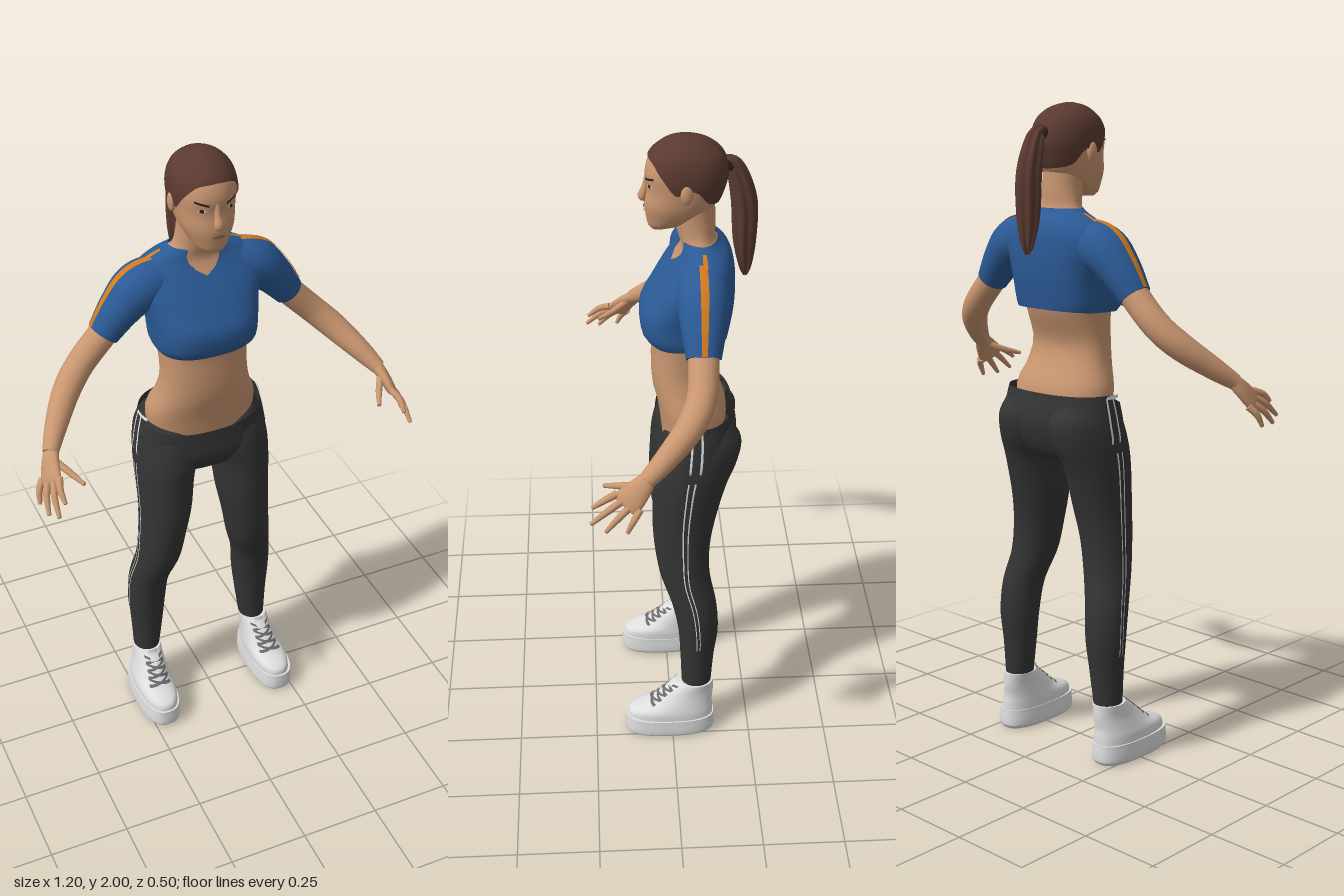
import * as THREE from 'three';

const mat = (name, color, side = THREE.DoubleSide) => {
  const m = new THREE.MeshStandardMaterial({ color, side });
  m.name = name;
  return m;
};

// Smooth interpolation of table rows; column 0 is the key.
function sampleAt(rows, x) {
  const last = rows.length - 1;
  x = Math.min(Math.max(x, rows[0][0]), rows[last][0]);
  let i = 0;
  while (i < last - 1 && x > rows[i + 1][0]) i++;
  const h = rows[i + 1][0] - rows[i][0], t = (x - rows[i][0]) / h;
  const slope = (k, c) => {
    const a = rows[Math.max(k - 1, 0)], b = rows[Math.min(k + 1, last)];
    return (b[c] - a[c]) / (b[0] - a[0]);
  };
  return rows[i].map((v, c) => c === 0 ? x :
    v * (1 + 2 * t) * (1 - t) ** 2 + rows[i + 1][c] * t * t * (3 - 2 * t) +
    h * (slope(i, c) * t * (1 - t) ** 2 - slope(i + 1, c) * t * t * (1 - t)));
}

// Surface f(u, v) as a grid, optionally closed around u and capped at both ends.
function grid(f, nu, nv, closed, cap0, cap1) {
  const pos = [], idx = [], w = closed ? nu : nu + 1;
  for (let j = 0; j <= nv; j++)
    for (let i = 0; i < w; i++) pos.push(...f(i / nu, j / nv));
  for (let j = 0; j < nv; j++)
    for (let i = 0; i < nu; i++) {
      const a = j * w + i, b = j * w + (i + 1) % w;
      idx.push(a, b, b + w, a, b + w, a + w);
    }
  const cap = (v, top) => {
    const base = pos.length / 3, c = [0, 0, 0];
    for (let i = 0; i < nu; i++) {
      const p = f(i / nu, v);
      pos.push(...p);
      p.forEach((q, k) => { c[k] += q / nu; });
      const n = base + (i + 1) % nu;
      idx.push(base + nu, top ? base + i : n, top ? n : base + i);
    }
    pos.push(...c);
  };
  if (cap0) cap(0, false);
  if (cap1) cap(1, true);
  const g = new THREE.BufferGeometry();
  g.setAttribute('position', new THREE.Float32BufferAttribute(pos, 3));
  g.setIndex(idx);
  g.computeVertexNormals();
  return g;
}

// Upright body from sections [y, cx, cz, halfWidth, front, back, power]; angle 0 faces front.
const spow = (v, e) => Math.sign(v) * Math.abs(v) ** e;
const surf = (rows, s = 1) => (a, y, off) => {
  const [, cx, cz, rx, rf, rb, p] = sampleAt(rows, y);
  const c = Math.cos(a);
  return [s * cx + (rx + off) * spow(Math.sin(a), 2 / p), y, cz + ((c > 0 ? rf : rb) + off) * spow(c, 2 / p)];
};
const val = (y, a) => typeof y === 'function' ? y(a) : y;
const shell = (P, y0, y1, { off = 0, caps = [true, true], rows = 28 } = {}) => grid((u, v) => {
  const a = (u * 2 - 1) * Math.PI, e = Math.sin(v * Math.PI / 2);
  return P(a, val(y0, a) * (1 - e) + val(y1, a) * e, off);
}, 48, rows, true, ...caps);
const patch = (P, a0, a1, y0, y1, off = 0.003, rows = 24) => grid((u, v) => {
  const a = a0 + (a1 - a0) * u;
  return P(a, val(y0, a) * (1 - v) + val(y1, a) * v, off);
}, 10, rows, false);

// Bent limb through points [x, y, z, radiusN, radiusB]; ref fixes the direction of radiusB.
function limbSurface(points, ref = [0, 0, 1]) {
  const rows = points.map((p, i) => [i, ...p]), n = points.length - 1;
  const at = (t) => new THREE.Vector3(...sampleAt(rows, t * n).slice(1, 4));
  return (a, t, off = 0) => {
    const T = at(Math.min(t + 0.01, 1)).sub(at(Math.max(t - 0.01, 0))).normalize();
    const B = new THREE.Vector3(...ref).addScaledVector(T, -T.dot(new THREE.Vector3(...ref))).normalize();
    const N = B.clone().cross(T), r = sampleAt(rows, t * n);
    return at(t).addScaledVector(N, (r[4] + off) * Math.cos(a))
      .addScaledVector(B, (r[5] + off) * Math.sin(a)).toArray();
  };
}
const limb = (points, ref, nu = 20, nv = 24, ripple = 0) => {
  const Q = limbSurface(points, ref);
  return grid((u, v) => Q(u * 2 * Math.PI, v, ripple * Math.cos(u * 14 * Math.PI)), nu, nv, true, true, true);
};

const TORSO = [
  [1.03, 0, -0.07, 0.16, 0.09, 0.1, 2.2], [1.16, 0, -0.065, 0.174, 0.1, 0.105, 2.2],
  [1.22, 0, -0.05, 0.15, 0.1, 0.09, 2.2], [1.29, 0, -0.04, 0.136, 0.094, 0.078, 2.2],
  [1.385, 0, -0.045, 0.138, 0.098, 0.11, 2.2], [1.45, 0, -0.05, 0.145, 0.115, 0.12, 2.3],
  [1.55, 0, -0.07, 0.165, 0.095, 0.11, 2.3], [1.62, 0, -0.09, 0.155, 0.073, 0.085, 2.2],
  [1.665, 0, -0.095, 0.115, 0.057, 0.065, 2], [1.69, 0, -0.09, 0.078, 0.06, 0.045, 2],
  [1.74, 0, -0.08, 0.064, 0.062, 0.053, 2], [1.82, 0, -0.07, 0.062, 0.06, 0.06, 2]];
const SHIRT = [
  [1.385, 0, -0.05, 0.147, 0.112, 0.12, 2.6], [1.41, 0, -0.05, 0.156, 0.132, 0.124, 2.8],
  [1.475, 0, -0.055, 0.162, 0.14, 0.13, 2.8], [1.53, 0, -0.065, 0.175, 0.12, 0.125, 2.6],
  [1.58, 0, -0.075, 0.19, 0.098, 0.115, 2.5], [1.63, 0, -0.09, 0.19, 0.078, 0.095, 2.3],
  [1.665, 0, -0.095, 0.15, 0.063, 0.075, 2.1], [1.69, 0, -0.095, 0.095, 0.063, 0.05, 2],
  [1.7, 0, -0.093, 0.08, 0.063, 0.045, 2]];
const PELVIS = [
  [0.93, 0, -0.06, 0.08, 0.05, 0.06, 2], [0.95, 0, -0.06, 0.16, 0.08, 0.1, 2.2],
  [1, 0, -0.065, 0.21, 0.112, 0.125, 2.4], [1.07, 0, -0.07, 0.208, 0.114, 0.135, 2.4],
  [1.155, 0, -0.075, 0.19, 0.112, 0.115, 2.3]];
const LEG = [
  [0.17, 0.196, -0.078, 0.041, 0.046, 0.047, 2], [0.3, 0.19, -0.08, 0.053, 0.053, 0.055, 2],
  [0.4, 0.188, -0.08, 0.062, 0.06, 0.067, 2], [0.5, 0.181, -0.07, 0.064, 0.07, 0.07, 2],
  [0.6, 0.158, -0.045, 0.07, 0.08, 0.075, 2], [0.7, 0.145, -0.04, 0.075, 0.092, 0.08, 2],
  [0.8, 0.133, -0.04, 0.083, 0.098, 0.098, 2], [0.93, 0.126, -0.05, 0.093, 0.103, 0.122, 2],
  [1, 0.111, -0.06, 0.106, 0.108, 0.142, 2], [1.07, 0.105, -0.075, 0.1, 0.105, 0.138, 2],
  [1.12, 0.1, -0.085, 0.085, 0.08, 0.1, 2]];
const HEAD = [
  [1.725, 0, 0.03, 0.022, 0.022, 0.03, 2], [1.737, 0, 0.02, 0.042, 0.04, 0.06, 2],
  [1.765, 0, -0.01, 0.062, 0.076, 0.08, 2.1], [1.8, 0, -0.03, 0.078, 0.1, 0.1, 2.2],
  [1.85, 0, -0.045, 0.087, 0.108, 0.108, 2.2], [1.9, 0, -0.05, 0.09, 0.117, 0.112, 2.2],
  [1.95, 0, -0.05, 0.079, 0.1, 0.098, 2.1], [1.98, 0, -0.048, 0.054, 0.066, 0.068, 2],
  [1.993, 0, -0.045, 0.03, 0.036, 0.038, 2], [2, 0, -0.045, 0.003, 0.004, 0.004, 2]];
const HAIRLINE = [[0, 1.945], [0.6, 1.935], [1, 1.9], [1.35, 1.855], [1.7, 1.87], [2.2, 1.825], [3.15, 1.81]];
const SOLE = [
  [0, 0.208, 0.01, 0.057, 0.134, 0.138, 2.6], [0.012, 0.208, 0.01, 0.066, 0.143, 0.147, 2.6],
  [0.065, 0.208, 0.008, 0.064, 0.143, 0.144, 2.6]];
const UPPER = [
  [0.06, 0.207, 0, 0.061, 0.146, 0.133, 2.4], [0.09, 0.206, 0, 0.06, 0.135, 0.132, 2.3],
  [0.112, 0.204, -0.02, 0.055, 0.096, 0.11, 2.2], [0.15, 0.2, -0.05, 0.048, 0.08, 0.084, 2],
  [0.19, 0.197, -0.075, 0.047, 0.055, 0.058, 2]];

export function createModel() {
  const M = {
    skin: mat('skin', 0xc99670), shirt: mat('blue cloth', 0x2b5a96), pants: mat('black cloth', 0x343434),
    hair: mat('brown hair', 0x5a3a30), white: mat('white', 0xdedede), lace: mat('grey lace', 0x6a6a6a),
    orange: mat('orange stripe', 0xd07a1e), dark: mat('dark detail', 0x261e1c), lip: mat('lip', 0xa86e58),
  };
  const model = new THREE.Group();
  const add = (name, geometry, material) => {
    const m = new THREE.Mesh(geometry, material);
    m.name = name;
    model.add(m);
    return m;
  };

  // Torso and clothes
  const shirt = surf(SHIRT), pelvis = surf(PELVIS), head = surf(HEAD);
  add('torso', shell(surf(TORSO), 1.03, 1.82, { rows: 40 }), M.skin);
  add('shirt', shell(shirt, (a) => 1.385 + 0.008 * (1 - Math.cos(a)),
    (a) => 1.62 + 0.077 * Math.min(1, Math.abs(a) / 0.55), { caps: [true, false], rows: 36 }), M.shirt);
  add('pantsTop', shell(pelvis, 0.93,
    (a) => 1.152 - 0.052 * Math.max(0, Math.cos(a)) ** 0.7, { caps: [true, false] }), M.pants);

  // Head, hair and ponytail
  add('head', shell(head, 1.725, 1.985, { rows: 36 }), M.skin);
  add('hair', shell(head, (a) => sampleAt(HAIRLINE, Math.abs(a))[1], 2, { off: 0.006, caps: [false, true] }), M.hair);
  add('nose', limb([[0, 1.885, 0.06, 0.008, 0.008], [0, 1.85, 0.066, 0.01, 0.01],
    [0, 1.822, 0.075, 0.013, 0.015], [0, 1.81, 0.068, 0.006, 0.01]], [1, 0, 0], 12, 12), M.skin);
  add('mouth', patch(head, -0.27, 0.27, (a) => 1.78 + 0.06 * a * a, (a) => 1.791 - 0.08 * a * a, 0.003, 4), M.lip);
  add('ponytail', limb([[0, 1.925, -0.15, 0.016, 0.016], [0, 1.9, -0.185, 0.026, 0.026],
    [0, 1.8, -0.212, 0.036, 0.036], [0, 1.68, -0.216, 0.032, 0.034], [0, 1.6, -0.22, 0.018, 0.02],
    [0, 1.565, -0.222, 0.004, 0.004]], [1, 0, 0], 56, 30, 0.003), M.hair);
  const tie = add('hairTie', new THREE.TorusGeometry(0.02, 0.009, 8, 20), M.dark);
  tie.position.set(0, 1.913, -0.168);
  tie.rotation.x = 0.7;

  for (const [side, s] of [['left', 1], ['right', -1]]) {
    const n = (part) => side + part;
    const put = (part, geometry, material) => add(n(part), geometry, material);
    const mx = (pts) => pts.map(([x, ...r]) => [s * x, ...r]);
    const band = (P, a, w, ...rest) => patch(P, s * a - w, s * a + w, ...rest);

    // Face details
    const arc = (y, k) => (a) => y + k * (1 - ((a - s * 0.46) / 0.15) ** 2);
    put('Eye', band(head, 0.46, 0.15, arc(1.867, -0.005), arc(1.867, 0.006), 0.002, 4), M.white);
    put('Iris', band(head, 0.46, 0.065, arc(1.867, -0.005), arc(1.867, 0.006), 0.003, 4), M.dark);
    put('Brow', band(head, 0.47, 0.22, (a) => 1.874 + 0.025 * Math.abs(a), (a) => 1.882 + 0.022 * Math.abs(a), 0.003, 4), M.dark);
    const ear = put('Ear', new THREE.SphereGeometry(1, 16, 12), M.skin);
    ear.scale.set(0.011, 0.03, 0.018);
    ear.position.set(s * 0.092, 1.86, -0.045);

    // Sleeve with stripe
    const sleeve = mx([[0.1, 1.6, -0.09, 0.07, 0.07], [0.18, 1.582, -0.088, 0.074, 0.076],
      [0.24, 1.53, -0.085, 0.062, 0.066], [0.297, 1.458, -0.082, 0.048, 0.05]]);
    put('Sleeve', limb(sleeve, undefined, 28), M.shirt);
    const Q = limbSurface(sleeve), top = s > 0 ? 0 : Math.PI;
    put('SleeveStripe', grid((u, v) => Q(top + (u - 0.5) * 0.3, 0.1 + 0.9 * v, 0.003), 4, 24, false), M.orange);
    put('ShoulderStripe', band(shirt, Math.PI / 2, 0.09, 1.6, 1.685), M.orange);

    // Arm and hand
    put('Arm', limb(mx([[0.22, 1.545, -0.085, 0.045, 0.045], [0.3, 1.455, -0.082, 0.043, 0.044],
      [0.375, 1.378, -0.072, 0.042, 0.043], [0.435, 1.32, -0.035, 0.041, 0.041],
      [0.495, 1.258, 0.035, 0.033, 0.033], [0.533, 1.215, 0.09, 0.023, 0.025]]), undefined, 24, 30), M.skin);
    const spread = [0.05, -0.055, -0.095];
    put('Palm', limb(mx([[0.525, 1.225, 0.078, 0.02, 0.022], [0.541, 1.195, 0.108, 0.018, 0.034],
      [0.553, 1.16, 0.142, 0.015, 0.042], [0.557, 1.15, 0.152, 0.008, 0.034]]),
    [s * spread[0], spread[1], spread[2]], 20, 14), M.skin);
    const tips = [[0.545, 1.14, 0.24], [0.567, 1.1, 0.245], [0.585, 1.085, 0.205], [0.592, 1.085, 0.145]];
    const finger = (part, b, t, lift) => put(part, limb(mx([[...b, 0.011, 0.011],
      [(b[0] + t[0]) / 2 + lift, (b[1] + t[1]) / 2 + lift, (b[2] + t[2]) / 2, 0.01, 0.01],
      [...t, 0.006, 0.006]]), [1, 0, 0], 10, 10), M.skin);
    tips.forEach((t, i) => {
      const k = -0.32 + 0.21 * i;
      finger('Finger' + (i + 1), [0.552 + spread[0] * k, 1.162 + spread[1] * k, 0.138 + spread[2] * k], t, 0.006);
    });
    finger('Thumb', [0.53, 1.2, 0.11], [0.475, 1.165, 0.207], -0.003);

    // Leg with side stripes
    const leg = surf(LEG, s);
    put('Leg', shell(leg, 0.17, 1.12, { rows: 48 }), M.pants);
    for (const [i, a] of [1.5, 1.66].entries()) {
      put('LegStripe' + (i + 1), band(leg, a, 0.022, 0.35, 0.98), M.white);
      put('HipStripe' + (i + 1), band(pelvis, a, 0.022, 0.98, 1.145), M.white);
    }
    put('WaistTrim', band(pelvis, 1.45, 0.2, 1.14, 1.15, 0.003, 2), M.white);

    // Shoe
    const upper = surf(UPPER, s);
    put('Sole', shell(surf(SOLE, s), 0, 0.065), M.white);
    put('ShoeUpper', shell(upper, 0.06, 0.19), M.white);
    put('ShoeTongue', patch(upper, -0.3, 0.3, 0.17, 0.2, 0.006, 4), M.white);
    for (let i = 0; i < 4; i++)
      for (const d of [-1, 1]) {
        const y = 0.118 + i * 0.017;
        put('Lace', patch(upper, -0.65, 0.65, (a) => y + d * a * 0.012, (a) => y + 0.006 + d * a * 0.012, 0.004, 2), M.lace);
      }
  }
  return model;
}
